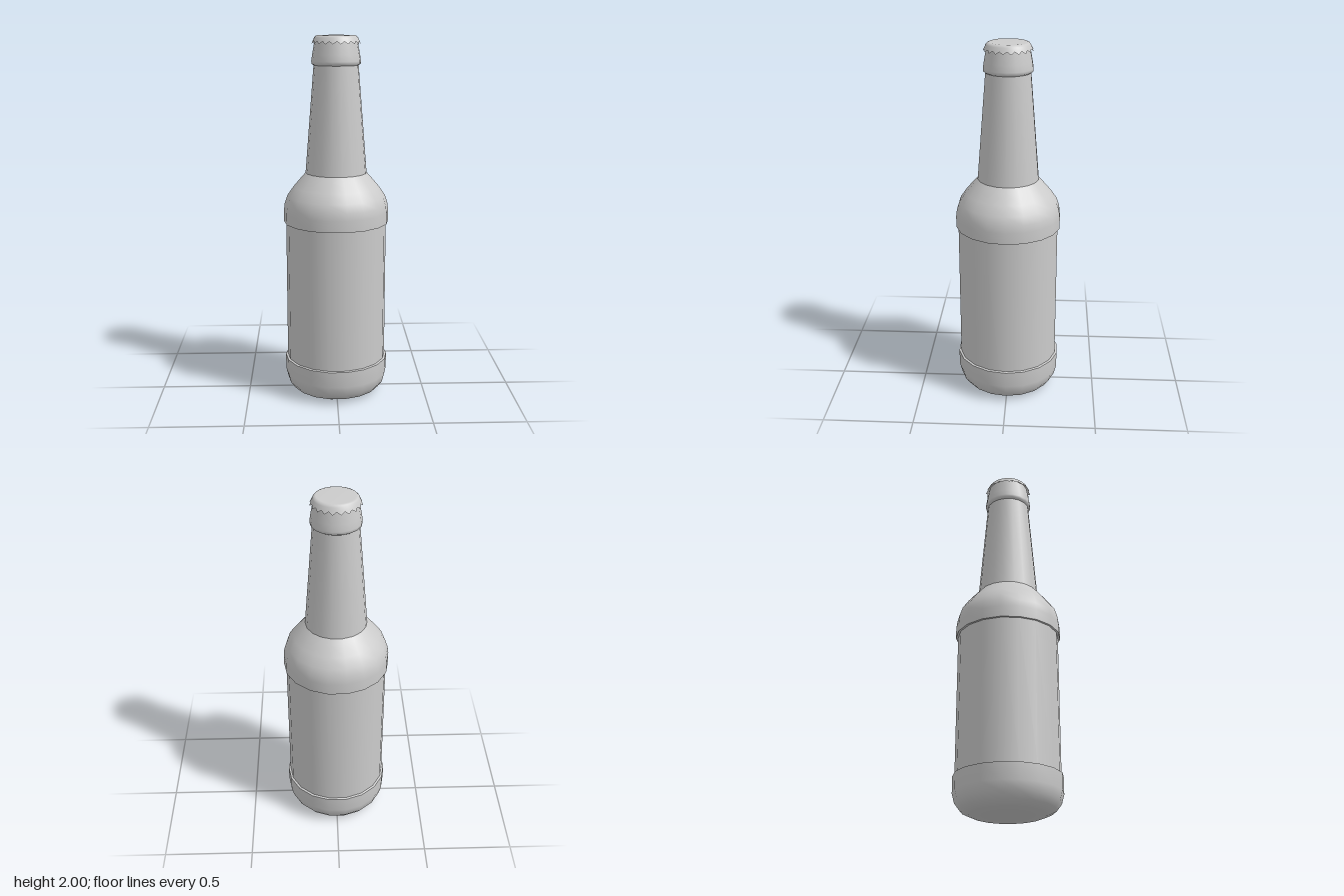
import * as THREE from 'three';

const SIDES = 18;
const material = new THREE.MeshStandardMaterial({ color: 0xcccccc });
const thinMaterial = new THREE.MeshStandardMaterial({ color: 0xcccccc, side: THREE.DoubleSide });

// Turned part from [radius, height] points, listed bottom to top
function turned(name, points, segments = SIDES, mat = material) {
  const profile = points.map(([r, y]) => new THREE.Vector2(r, y));
  const mesh = new THREE.Mesh(new THREE.LatheGeometry(profile, segments, Math.PI / 2), mat);
  mesh.name = name;
  return mesh;
}

// Crown cap: a flared shell whose lowest ring alternates between tips and notches
function crownCap() {
  const teeth = 20;
  const cap = turned('cap', [
    [0.133, 1.955], [0.124, 1.972], [0.117, 1.988], [0.11, 1.996], [0.1, 2], [0, 2],
  ], teeth * 2, thinMaterial);
  const pos = cap.geometry.attributes.position;
  const rows = 6;
  for (let i = 0; i <= teeth * 2; i += 2) {
    const v = i * rows, shrink = 0.125 / 0.133;
    pos.setXYZ(v, pos.getX(v) * shrink, 1.969, pos.getZ(v) * shrink);
  }
  return cap;
}

export function createModel() {
  const bottle = new THREE.Group();
  bottle.name = 'bottle';
  bottle.add(
    // Rounded foot with its flat underside
    turned('base', [[0, 0], [0.195, 0], [0.215, 0.008], [0.25, 0.025], [0.276, 0.06], [0.289, 0.11], [0.29, 0.2]]),
    turned('baseLedge', [[0.29, 0.2], [0.278, 0.203]]),
    // Recessed straight body
    turned('body', [[0.278, 0.2], [0.278, 0.99]]),
    turned('shoulderLedge', [[0.278, 0.988], [0.29, 0.988]]),
    // Shoulder curving in to the neck
    turned('shoulder', [[0.29, 0.988], [0.29, 1.05], [0.285, 1.09], [0.27, 1.135], [0.235, 1.185], [0.19, 1.238], [0.168, 1.262]]),
    turned('neck', [[0.168, 1.262], [0.121, 1.845]]),
    // Lip ring and mouth under the cap
    turned('lip', [[0.121, 1.843], [0.132, 1.85], [0.133, 1.865], [0.128, 1.9], [0.118, 1.955], [0.114, 1.975]]),
    crownCap(),
  );
  return bottle;
}
